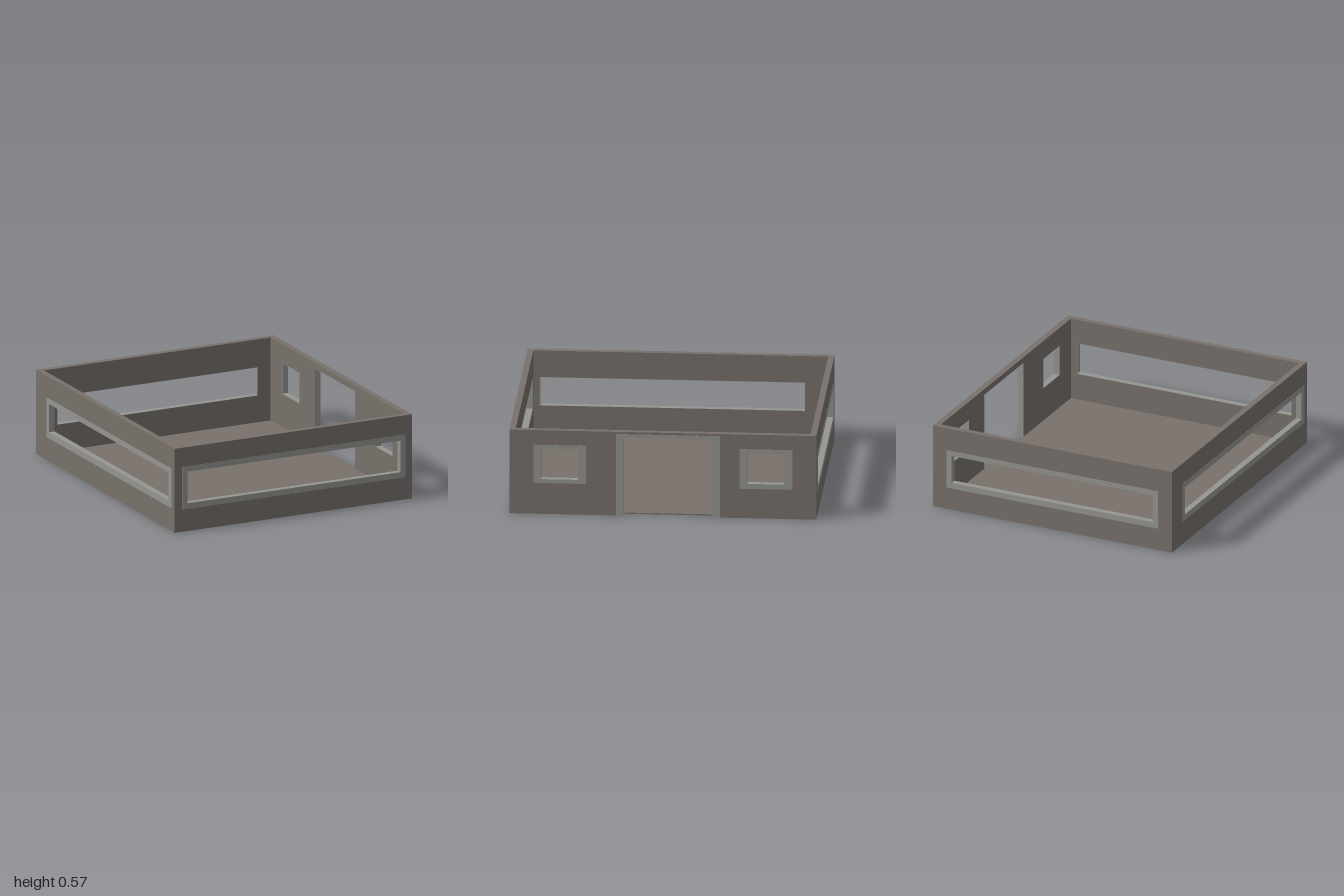
import * as THREE from 'three';

const H = 0.57, T = 0.04, W = 0.864, D = 0.999, PROUD = 0.001;

const wallMat = new THREE.MeshStandardMaterial({ color: 0x78716b });
wallMat.name = 'wall stone';
const frameMat = new THREE.MeshStandardMaterial({ color: 0x959691 });
frameMat.name = 'frame grey';

// Rectangle corners from [u0, v0, u1, v1]
const corners = ([a, b, c, d]) => [[a, b], [c, b], [c, d], [a, d]].map(p => new THREE.Vector2(...p));

// Inverted U running from the floor up around a doorway
function archShape(outer, inner) {
  const [a, b, c, d] = outer, [e, , g, h] = inner;
  return new THREE.Shape([[a, b], [e, b], [e, h], [g, h], [g, b], [c, b], [c, d], [a, d]]
    .map(p => new THREE.Vector2(...p)));
}

function ringShape(outer, inner, isDoor) {
  if (isDoor) return archShape(outer, inner);
  const shape = new THREE.Shape(corners(outer));
  shape.holes.push(new THREE.Path(corners(inner)));
  return shape;
}

function slab(name, shape, from, to, material) {
  const geo = new THREE.ExtrudeGeometry(shape, { depth: to - from, bevelEnabled: false });
  geo.translate(0, 0, from);
  const mesh = new THREE.Mesh(geo, material);
  mesh.name = name;
  return mesh;
}

// One wall facing local +z, with framed openings, turned to its side of the building
function wall(name, half, dist, turn, openings) {
  const group = new THREE.Group();
  group.name = name;
  const door = openings.find(o => o.door);
  const edge = [-half, 0, half, H];
  const shape = door ? archShape(edge, door.inner) : new THREE.Shape(corners(edge));
  for (const o of openings) if (!o.door) shape.holes.push(new THREE.Path(corners(o.inner)));
  group.add(slab(name + 'Panel', shape, dist - T, dist, wallMat));

  for (const o of openings) {
    const label = o.door ? 'doorFrame' : 'windowFrame';
    const [a, b, c, d] = o.inner, s = 0.002;
    const lined = o.door ? [a + s, b, c - s, d - s] : [a + s, b + s, c - s, d - s];
    // flat surround on the outside, and lining through the wall thickness
    group.add(slab(label + 'Surround', ringShape(o.outer, o.inner, o.door), dist, dist + PROUD, frameMat));
    group.add(slab(label + 'Lining', ringShape(o.inner, lined, o.door), dist - T, dist + PROUD, frameMat));
  }
  group.rotation.y = turn;
  return group;
}

export function createModel() {
  const model = new THREE.Group();
  model.name = 'openBuilding';

  // Front and back walls, each with one long window
  model.add(wall('frontWall', W, D, 0, [
    { outer: [-0.805, 0.15, 0.815, 0.44], inner: [-0.772, 0.187, 0.78, 0.405] },
  ]));
  model.add(wall('backWall', W, D, Math.PI, [
    { outer: [-0.765, 0.15, 0.765, 0.415], inner: [-0.73, 0.188, 0.73, 0.382] },
  ]));

  // Side walls fit between the front and back walls
  model.add(wall('doorWall', D - T, W, Math.PI / 2, [
    { outer: [-0.84, 0.21, -0.5, 0.47], inner: [-0.795, 0.235, -0.55, 0.445] },
    { door: true, outer: [-0.303, 0, 0.373, 0.555], inner: [-0.257, 0, 0.323, 0.532] },
    { outer: [0.5, 0.2, 0.843, 0.47], inner: [0.547, 0.232, 0.793, 0.442] },
  ]));
  model.add(wall('longWindowWall', D - T, W, -Math.PI / 2, [
    { outer: [-0.845, 0.155, 0.955, 0.425], inner: [-0.81, 0.195, 0.918, 0.39] },
  ]));

  // Thin floor inside the walls
  const floor = new THREE.Mesh(new THREE.BoxGeometry(2 * (W - T), 0.008, 2 * (D - T)), wallMat);
  floor.name = 'floor';
  floor.position.y = 0.004;
  model.add(floor);

  return model;
}
